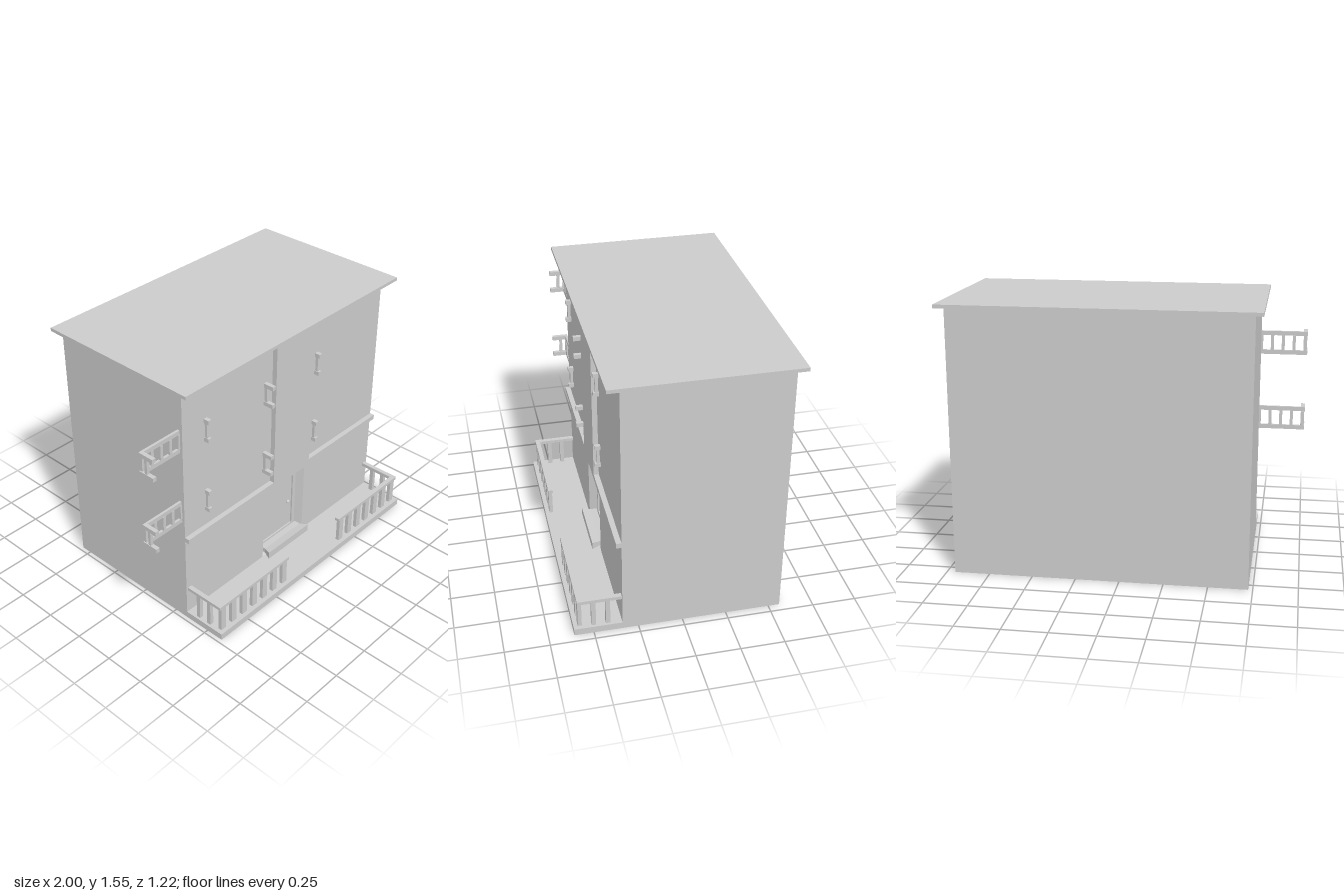
import * as THREE from 'three';

const material = new THREE.MeshStandardMaterial({ color: 0xcccccc, flatShading: true });

function add(parent, name, geometry) {
  const mesh = new THREE.Mesh(geometry, material);
  mesh.name = name;
  parent.add(mesh);
  return mesh;
}

// Box given by its limits on each axis
function box(parent, name, x0, x1, y0, y1, z0, z1) {
  const mesh = add(parent, name, new THREE.BoxGeometry(x1 - x0, y1 - y0, z1 - z0));
  mesh.position.set((x0 + x1) / 2, (y0 + y1) / 2, (z0 + z1) / 2);
  return mesh;
}

// Joins a run of rectangles [x0, x1, y0, y1, z] and caps the last one
function rectLoft(rings) {
  const loops = rings.map(([x0, x1, y0, y1, z]) => [[x0, y0, z], [x1, y0, z], [x1, y1, z], [x0, y1, z]]);
  const points = [];
  const quad = (a, b, c, d) => points.push(...a, ...b, ...c, ...a, ...c, ...d);
  for (let r = 0; r < loops.length - 1; r++) {
    for (let i = 0; i < 4; i++) {
      const j = (i + 1) % 4;
      quad(loops[r][i], loops[r][j], loops[r + 1][j], loops[r + 1][i]);
    }
  }
  quad(...loops[loops.length - 1]);
  const geometry = new THREE.BufferGeometry();
  geometry.setAttribute('position', new THREE.Float32BufferAttribute(points, 3));
  geometry.computeVertexNormals();
  return geometry;
}

function polygon(points) {
  return points.map(([x, y]) => new THREE.Vector2(x, y));
}

// Balcony railing: front run partly set into the wall, with two short returns
function balcony(x0, x1, y, zBack, zFront) {
  const group = new THREE.Group();
  group.name = 'balconyRailing';
  const rail = 0.025, height = 0.14, thick = 0.015;
  for (const yr of [y, y + height - rail]) {
    box(group, 'frontRail', x0, x1, yr, yr + rail, zBack, zBack + thick);
    box(group, 'leftReturn', x1 - 0.024, x1, yr, yr + rail, zBack, zFront);
    box(group, 'rightReturn', x0, x0 + 0.024, yr, yr + rail, zBack, zFront);
  }
  const count = 15;
  for (let i = 0; i < count; i++) {
    const x = x0 + 0.015 + (x1 - x0 - 0.03) * i / (count - 1);
    box(group, 'post', x - 0.009, x + 0.009, y + rail, y + height - rail, zBack - 0.002, zBack + thick + 0.002);
  }
  for (const x of [x0 + 0.012, x1 - 0.012]) {
    box(group, 'endPost', x - 0.009, x + 0.009, y + rail, y + height - rail, 0.344, 0.361);
  }
  return group;
}

// Porch fence: an L of rails on posts; side is -1 or 1 about the porch centre
function porchFence(side) {
  const group = new THREE.Group();
  group.name = side > 0 ? 'leftPorchFence' : 'rightPorchFence';
  const centre = 0.113;
  const part = (name, a, b, y0, y1, z0, z1) => {
    const xs = [centre + side * a, centre + side * b].sort((m, n) => m - n);
    box(group, name, xs[0], xs[1], y0, y1, z0, z1);
  };
  part('frontRail', 0.235, 0.826, 0.197, 0.217, 0.56, 0.588);
  part('sideRail', 0.798, 0.826, 0.197, 0.217, 0.34, 0.56);
  for (let i = 0; i < 7; i++) {
    const a = 0.25 + i * 0.0875;
    part('frontPost', a, a + 0.038, 0.04, 0.197, 0.563, 0.585);
  }
  for (const z of [0.405, 0.485]) part('sidePost', 0.8, 0.824, 0.04, 0.197, z, z + 0.025);
  return group;
}

export function createModel() {
  const model = new THREE.Group();

  // Main block, with a front wall pierced for the door
  box(model, 'mainBlock', -0.725, 0.952, 0, 1.535, -0.565, 0.27);
  const wall = new THREE.Shape(polygon([[-0.725, 0], [0.952, 0], [0.952, 1.535], [-0.725, 1.535]]));
  wall.holes.push(new THREE.Path(polygon([[-0.07, 0.04], [-0.07, 0.515], [0.298, 0.515], [0.298, 0.04]])));
  add(model, 'frontWall', new THREE.ExtrudeGeometry(wall, { depth: 0.07, bevelEnabled: false })).position.z = 0.27;

  box(model, 'roof', -0.768, 1, 1.535, 1.555, -0.61, 0.415);
  box(model, 'porchFloor', -0.725, 0.952, 0, 0.04, 0.34, 0.61);

  // Central pilaster standing on a ledge
  const trim = new THREE.Shape(polygon([
    [-0.725, 0.56], [0.952, 0.56], [0.952, 0.59], [0.3, 0.59],
    [0.3, 1.535], [-0.02, 1.535], [-0.02, 0.59], [-0.725, 0.59],
  ]));
  add(model, 'pilasterAndLedge', new THREE.ExtrudeGeometry(trim, { depth: 0.03, bevelEnabled: false })).position.z = 0.34;

  // Splayed door recess, flared sill and knob
  add(model, 'door', rectLoft([
    [-0.07, 0.298, 0.04, 0.515, 0.34],
    [-0.047, 0.275, 0.06, 0.492, 0.295],
    [-0.024, 0.25, 0.095, 0.47, 0.295],
    [-0.024, 0.25, 0.095, 0.47, 0.285],
  ]));
  add(model, 'doorSill', rectLoft([
    [-0.05, 0.278, 0.06, 0.09, 0.3],
    [-0.05, 0.278, 0.06, 0.09, 0.34],
    [-0.07, 0.298, 0.052, 0.098, 0.39],
  ]));
  add(model, 'doorKnob', new THREE.SphereGeometry(0.012, 12, 8)).position.set(0.206, 0.284, 0.297);

  // Two overlapping railings on each upper floor
  for (const y of [0.69, 1.152]) {
    model.add(balcony(-1, -0.068, y, 0.307, 0.405));
    model.add(balcony(-0.565, 0.374, y, 0.277, 0.373));
  }

  for (const side of [-1, 1]) model.add(porchFence(side));
  return model;
}
